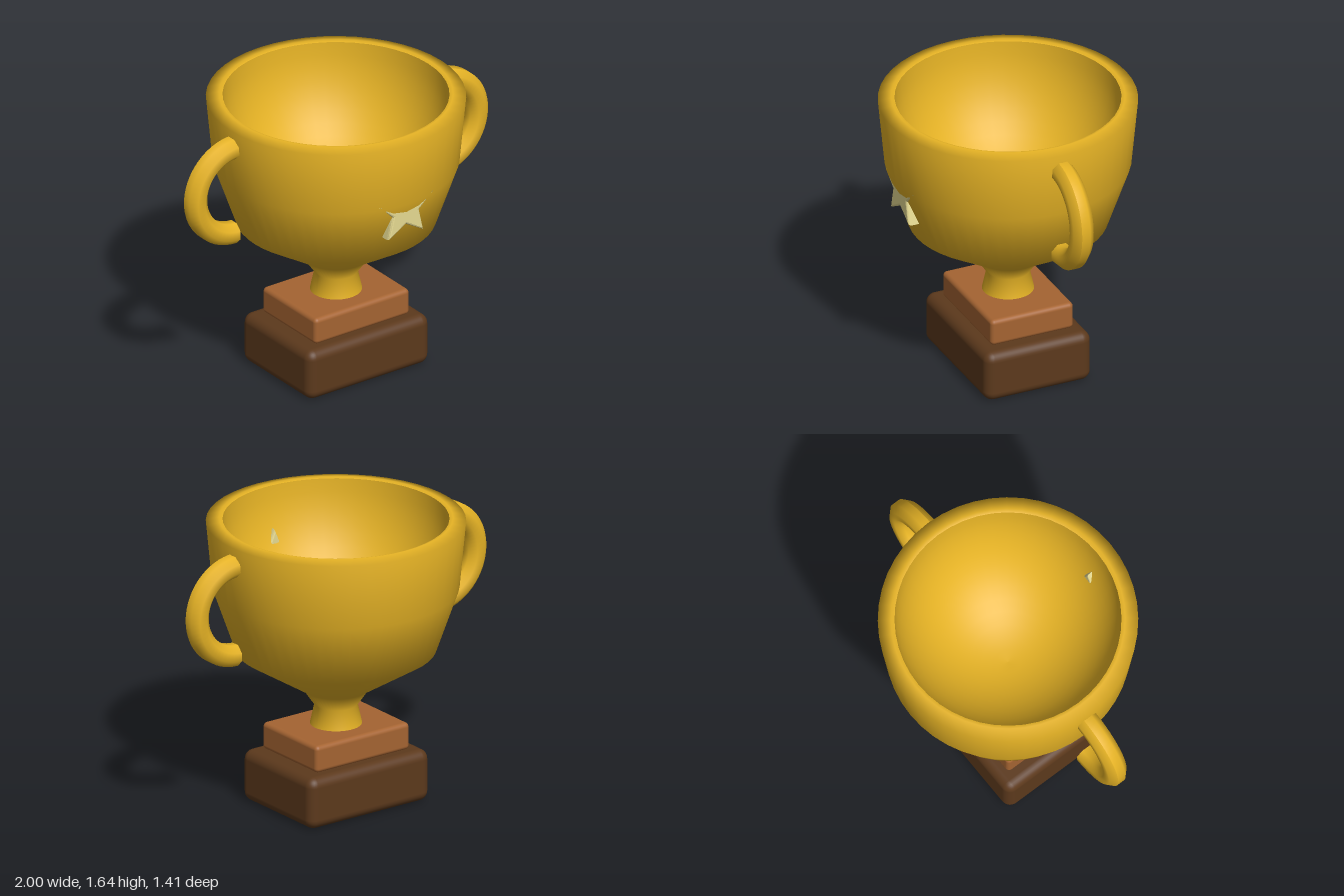
import * as THREE from 'three';
import { RoundedBoxGeometry } from 'three/addons/geometries/RoundedBoxGeometry.js';

function material(name, color) {
  const m = new THREE.MeshStandardMaterial({ color });
  m.name = name;
  return m;
}

export function createModel() {
  const model = new THREE.Group();
  model.name = 'trophy';
  const gold = material('gold', 0xe6b325);
  const paleGold = material('pale gold', 0xe6da92);
  const darkWood = material('dark wood', 0x5c391c);
  const lightWood = material('light wood', 0xa56432);

  function add(name, geometry, mat, parent = model) {
    const mesh = new THREE.Mesh(geometry, mat);
    mesh.name = name;
    parent.add(mesh);
    return mesh;
  }
  const points = (list) => list.map(([x, y]) => new THREE.Vector2(x, y));

  // Two-step wooden base
  add('plinth', new RoundedBoxGeometry(0.815, 0.295, 0.635, 4, 0.055), darkWood).position.y = 0.1475;
  add('upperPlinth', new RoundedBoxGeometry(0.635, 0.155, 0.495, 4, 0.025), lightWood).position.y = 0.3725;

  // Stem, outer wall and rim as one turned profile
  const outer = points([
    [0.144, 0.44], [0.118, 0.56], [0.18, 0.65], [0.545, 0.88],
    [0.67, 1.24], [0.706, 1.62], [0.635, 1.636], [0.615, 1.63],
  ]);
  add('cup', new THREE.LatheGeometry(outer, 48), gold);

  // Rounded hollow inside the cup
  const hollow = [];
  for (let i = 0; i <= 14; i++) {
    const a = (i / 14) * (Math.PI / 2);
    hollow.push(new THREE.Vector2(0.615 * Math.cos(a), 1.63 - 0.68 * Math.sin(a)));
  }
  hollow[14].x = 0;
  add('cupInside', new THREE.LatheGeometry(hollow, 48), gold);

  // Half-ring handles with eight-sided section and closed ends
  const section = [];
  for (let i = 0; i <= 8; i++) {
    const a = ((i + 0.5) / 8) * Math.PI * 2;
    section.push(new THREE.Vector2(0.257 + 0.065 * Math.cos(a), 0.065 * Math.sin(a)));
  }
  for (const side of [1, -1]) {
    const handle = new THREE.Group();
    handle.name = side > 0 ? 'leftHandle' : 'rightHandle';
    const ring = add('handleRing', new THREE.LatheGeometry(section, 32, 0, Math.PI), gold, handle);
    ring.rotation.x = Math.PI / 2;
    for (const end of [1, -1]) {
      const cap = add('handleEnd', new THREE.CircleGeometry(0.065, 8, Math.PI / 8), gold, handle);
      cap.position.y = 0.257 * end;
      cap.rotation.y = -Math.PI / 2;
    }
    handle.position.set(0.683 * side, 1.257, 0);
    handle.rotation.y = side > 0 ? 0 : Math.PI;
    model.add(handle);
  }

  // Five-pointed star sunk into the front of the bowl
  const corners = [];
  for (let i = 0; i < 10; i++) {
    const r = i % 2 ? 0.095 : 0.2;
    const a = Math.PI / 2 + (i * Math.PI) / 5;
    corners.push([r * Math.cos(a), r * Math.sin(a)]);
  }
  const starGeometry = new THREE.ExtrudeGeometry(new THREE.Shape(points(corners)), {
    depth: 0.064, bevelEnabled: true, bevelThickness: 0.02, bevelSize: 0.015, bevelOffset: -0.015, bevelSegments: 3,
  });
  add('star', starGeometry, paleGold).position.set(0, 1.2, 0.566);

  return model;
}
